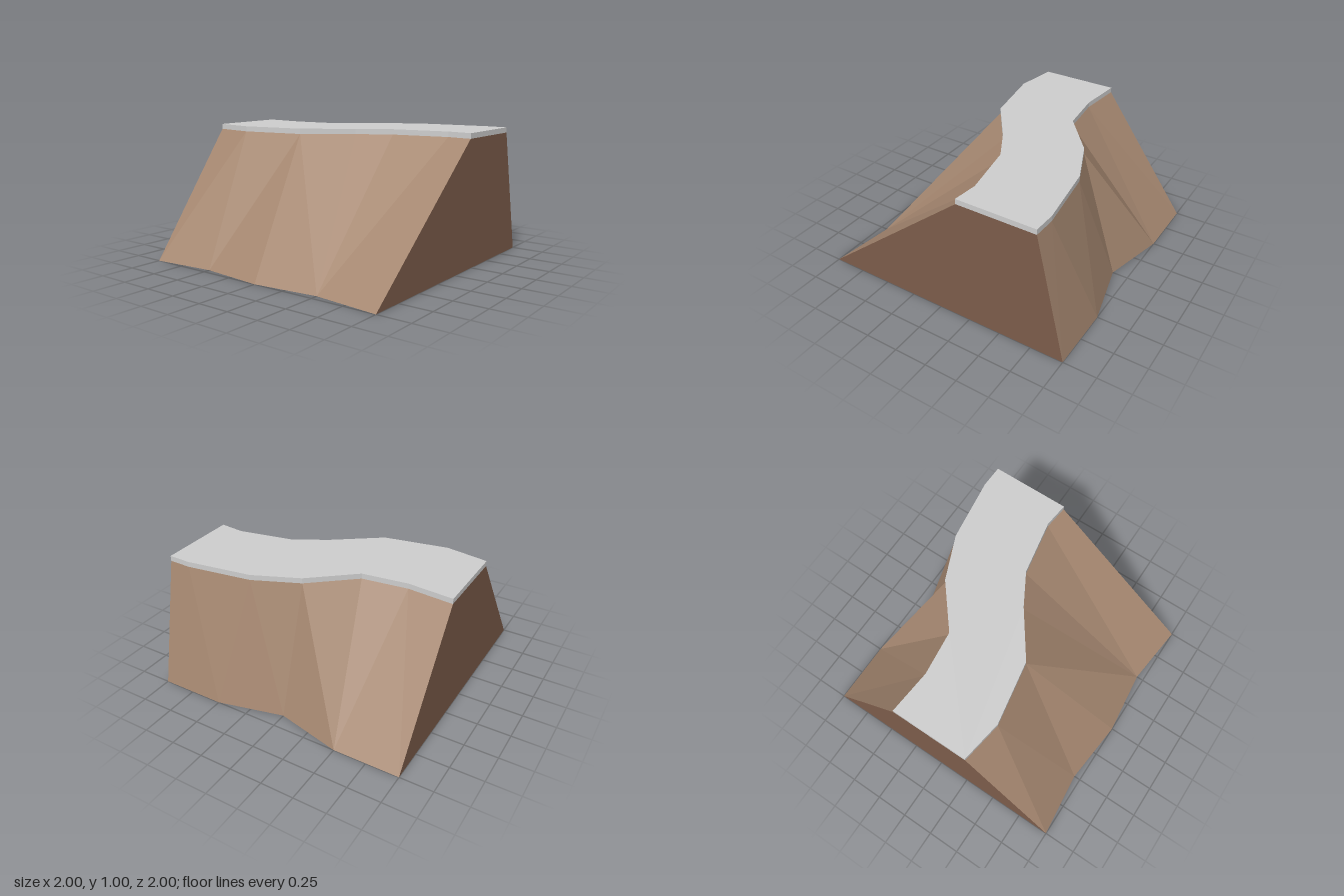
import * as THREE from 'three';

// Crest and foot outlines as [x, z], listed from back to front
const crestLeft = [[0.30, -1], [0.27, -0.66], [0.31, -0.32], [0.575, 0], [0.72, 0.34], [0.79, 0.83], [0.785, 1]];
const crestRight = [[-0.30, -1], [-0.35, -0.68], [-0.265, -0.2], [-0.02, 0.14], [0.12, 0.385], [0.20, 0.81], [0.18, 1]];
const footLeft = [[1, -1], [1, -0.5], [0.88, 0], [1, 0.5], [1, 1]];
const footRight = [[-1, -1], [-0.95, -0.5], [-1, 0], [-0.945, 0.5], [-1, 1]];
const CREST = 0.96, TOP = 1;

function meshFrom(name, positions, material) {
  const geometry = new THREE.BufferGeometry();
  geometry.setAttribute('position', new THREE.Float32BufferAttribute(positions, 3));
  geometry.computeVertexNormals();
  const mesh = new THREE.Mesh(geometry, material);
  mesh.name = name;
  return mesh;
}

// Faceted slope between crest and foot; each step advances the top (T) or base (B)
function slope(name, crest, foot, steps, flip, material) {
  const top = ([x, z]) => [x, CREST, z];
  const base = ([x, z]) => [x, 0, z];
  const positions = [];
  let t = 0, b = 0;
  for (const step of steps) {
    const tri = [top(crest[t]), base(foot[b])];
    tri.push(step === 'T' ? top(crest[++t]) : base(foot[++b]));
    if (flip) tri.reverse();
    positions.push(...tri.flat());
  }
  return meshFrom(name, positions, material);
}

// Flat trapezoid closing one end
function endWall(name, left, right, z, material) {
  const a = [-1, 0, z], b = [1, 0, z], c = [left, CREST, z], d = [right, CREST, z];
  const tris = z > 0 ? [a, b, c, a, c, d] : [b, a, d, b, d, c];
  return meshFrom(name, tris.flat(), material);
}

export function createModel() {
  const model = new THREE.Group();
  model.name = 'roadEmbankment';

  const earth = new THREE.MeshStandardMaterial({ color: 0xa58770 });
  earth.name = 'earth';
  const cutEarth = new THREE.MeshStandardMaterial({ color: 0x7c5c4a });
  cutEarth.name = 'cut earth';
  const paving = new THREE.MeshStandardMaterial({ color: 0xcccccc });
  paving.name = 'paving';
  for (const m of [earth, cutEarth]) m.side = THREE.DoubleSide;
  earth.flatShading = true;

  // Side slopes, open underneath
  model.add(slope('leftSlope', crestLeft, footLeft, 'TBTTBTBTBT', true, earth));
  model.add(slope('rightSlope', crestRight, footRight, 'TBTBBTTTBT', false, earth));

  // End walls
  model.add(endWall('frontWall', 0.785, 0.18, 1, cutEarth));
  model.add(endWall('backWall', 0.30, -0.30, -1, cutEarth));

  // Winding road slab along the crest
  const outline = [...crestRight, ...[...crestLeft].reverse()].map(([x, z]) => new THREE.Vector2(x, -z));
  const slab = new THREE.ExtrudeGeometry(new THREE.Shape(outline), { depth: TOP - CREST, bevelEnabled: false });
  slab.rotateX(-Math.PI / 2);
  const road = new THREE.Mesh(slab, paving);
  road.name = 'road';
  road.position.y = CREST;
  model.add(road);

  return model;
}
